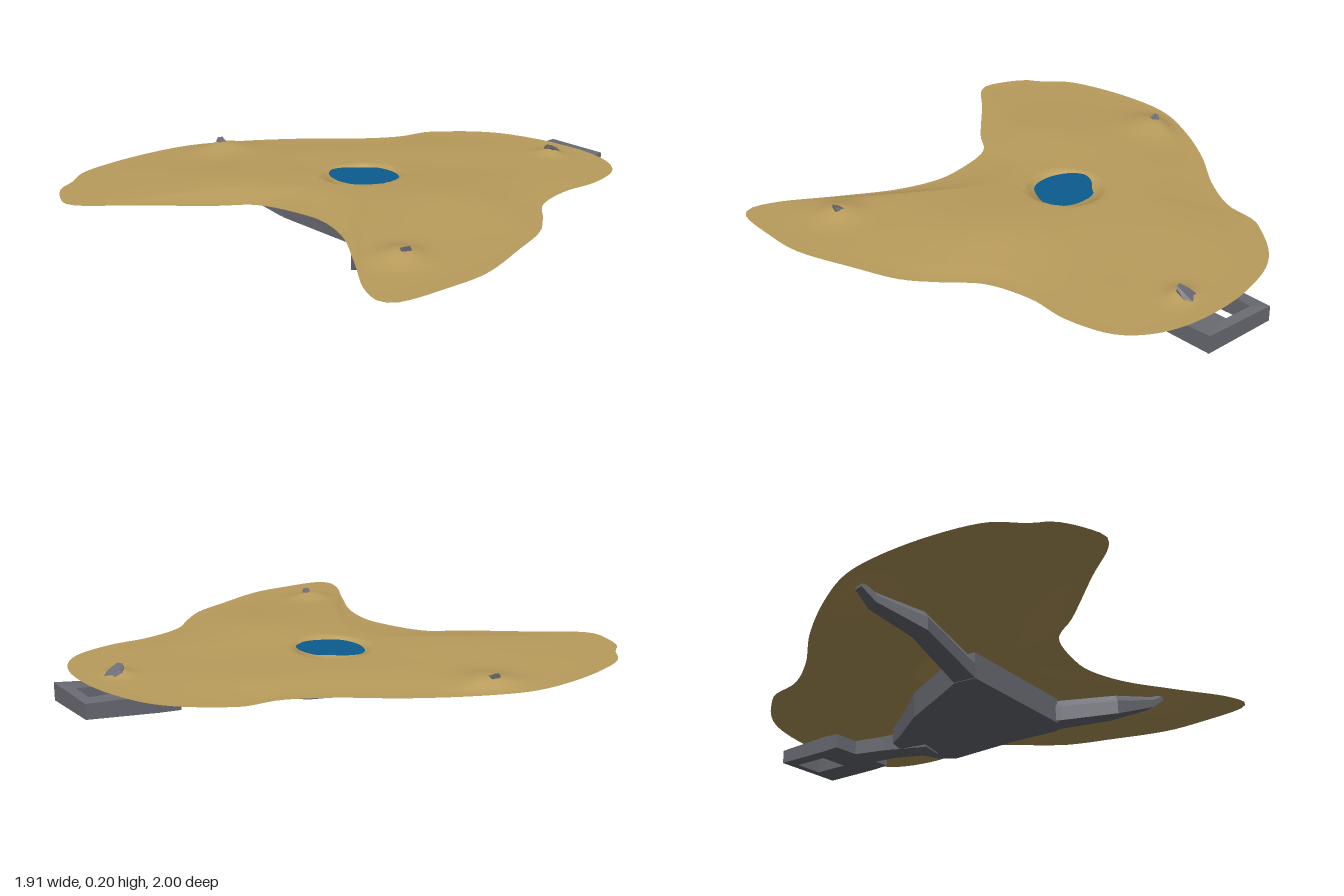
import * as THREE from 'three';

const sand = new THREE.MeshStandardMaterial({ color: 0xb99c5c, side: THREE.DoubleSide });
const water = new THREE.MeshStandardMaterial({ color: 0x0b5c8e, side: THREE.DoubleSide });
const metal = new THREE.MeshStandardMaterial({ color: 0x6b6c74, flatShading: true });

const smooth = (t) => THREE.MathUtils.smoothstep(t, 0, 1);
const CENTRE = [-0.01, 0.05];

// Plan outline of the sheet, as x, z pairs
const outline = [
  [0.19, -0.9], [0.35, -0.89], [0.53, -0.84], [0.64, -0.77], [0.71, -0.67], [0.73, -0.49],
  [0.7, -0.32], [0.72, -0.13], [0.8, 0], [0.87, 0.13], [0.91, 0.32], [0.95, 0.58],
  [0.93, 0.74], [0.875, 0.945], [0.83, 0.97], [0.74, 0.93], [0.56, 0.77], [0.37, 0.61],
  [0.21, 0.535], [0.11, 0.525], [-0.1, 0.555], [-0.21, 0.66], [-0.46, 0.86], [-0.6, 0.98],
  [-0.66, 1], [-0.74, 0.965], [-0.83, 0.89], [-0.86, 0.82], [-0.93, 0.715], [-0.955, 0.555],
  [-0.945, 0.32], [-0.9, 0.14], [-0.79, -0.03], [-0.61, -0.23], [-0.41, -0.4], [-0.29, -0.545],
  [-0.245, -0.68], [-0.19, -0.74], [-0.08, -0.83], [0.03, -0.88],
];
const poolOutline = [
  [-0.03, -0.07], [0.07, -0.06], [0.125, -0.015], [0.135, 0.05], [0.11, 0.1], [0.06, 0.155],
  [0.01, 0.17], [-0.06, 0.16], [-0.13, 0.115], [-0.155, 0.06], [-0.13, 0.01], [-0.075, -0.035],
];

// Raised spots: x, z, height, radius
const bumps = [
  [-0.74, 0.1, 0.032, 0.12], [0.66, 0.65, 0.03, 0.08], [0.38, -0.73, 0.024, 0.05],
  [0.45, 0.1, 0.018, 0.3], [-0.35, 0.4, 0.006, 0.2], [0.35, -0.4, -0.006, 0.2],
];

function sheetHeight(x, z, t) {
  const inner = smooth((1 - t) / 0.55);
  let y = 0.155 + 0.017 * inner;
  for (const [bx, bz, h, r] of bumps) {
    y += h * Math.exp(-((x - bx) ** 2 + (z - bz) ** 2) / (r * r)) * smooth((1 - t) / 0.15);
  }
  y += 0.002 * inner * Math.sin(7 * x + 3 * z) * Math.cos(6 * z - 2 * x);
  const r = Math.hypot(x - CENTRE[0], z - CENTRE[1]);
  return y - 0.063 * Math.max(0, 1 - (r / 0.16) ** 2);
}

// Surface of rings running from the centre out to a closed plan outline
function radialSurface(points, around, rings, height) {
  const curve = new THREE.CatmullRomCurve3(points.map(([x, z]) => new THREE.Vector3(x, 0, z)), true);
  const edge = curve.getSpacedPoints(around);
  const pos = [], index = [];
  for (let i = 0; i <= rings; i++) {
    const t = i / rings;
    for (let j = 0; j < around; j++) {
      const x = CENTRE[0] + (edge[j].x - CENTRE[0]) * t;
      const z = CENTRE[1] + (edge[j].z - CENTRE[1]) * t;
      pos.push(x, height(x, z, t), z);
      if (i === rings) continue;
      const a = i * around + j, b = i * around + (j + 1) % around;
      const c = a + around, d = b + around;
      if (i > 0) index.push(a, b, d);
      index.push(a, d, c);
    }
  }
  const geo = new THREE.BufferGeometry();
  geo.setAttribute('position', new THREE.Float32BufferAttribute(pos, 3));
  geo.setIndex(index);
  geo.computeVertexNormals();
  return geo;
}

// Straight interpolation through [z, y] stations, z descending
function profile(stations, z) {
  if (z >= stations[0][0]) return stations[0][1];
  for (let i = 1; i < stations.length; i++) {
    const [z0, y0] = stations[i - 1], [z1, y1] = stations[i];
    if (z >= z1) return y0 + (y1 - y0) * (z - z0) / (z1 - z0);
  }
  return stations[stations.length - 1][1];
}
const underside = [[-0.2, 0], [-0.47, 0.035], [-0.7, 0.048], [-1, 0.078]];
const upside = [[-0.2, 0.108], [-0.28, 0.09], [-0.47, 0.1], [-0.68, 0.108], [-0.82, 0.148], [-1, 0.138]];

// Plate cut from a plan shape, following the underside and upside profiles
function slab(points, hole) {
  const toVec = ([x, z]) => new THREE.Vector2(x, z);
  const shape = new THREE.Shape(points.map(toVec));
  if (hole) shape.holes.push(new THREE.Path(hole.map(toVec)));
  const geo = new THREE.ExtrudeGeometry(shape, { depth: 1, bevelEnabled: false }).rotateX(Math.PI / 2);
  const p = geo.attributes.position;
  for (let i = 0; i < p.count; i++) {
    p.setY(i, profile(p.getY(i) > -0.5 ? upside : underside, p.getZ(i)));
  }
  geo.computeVertexNormals();
  return geo;
}

// Bar with chamfered top edges through stations of x, y, z, width, height
const section = [[-1, -1], [1, -1], [1, 0.3], [0.6, 1], [-0.6, 1], [-1, 0.3]];
function bar(stations) {
  const n = section.length, pos = [], index = [];
  const last = stations.length - 1;
  stations.forEach(([x, y, z, w, h], i) => {
    const a = stations[Math.max(i - 1, 0)], b = stations[Math.min(i + 1, last)];
    const dx = b[0] - a[0], dz = b[2] - a[2], len = Math.hypot(dx, dz);
    const sx = -dz / len * w / 2, sz = dx / len * w / 2;
    for (const [s, v] of section) pos.push(x + s * sx, y + v * h / 2, z + s * sz);
    if (i === 0) return;
    for (let k = 0; k < n; k++) {
      const p = (i - 1) * n + k, q = (i - 1) * n + (k + 1) % n;
      index.push(p, p + n, q, q, p + n, q + n);
    }
  });
  const e = last * n;
  for (let k = 1; k < n - 1; k++) index.push(0, k, k + 1, e, e + k + 1, e + k);
  const geo = new THREE.BufferGeometry();
  geo.setAttribute('position', new THREE.Float32BufferAttribute(pos, 3));
  geo.setIndex(index);
  const flat = geo.toNonIndexed();
  flat.computeVertexNormals();
  return flat;
}

export function createModel() {
  const model = new THREE.Group();
  model.name = 'stretchedSheetOnFrame';
  const add = (name, geo, mat, parent = model) => {
    const mesh = new THREE.Mesh(geo, mat);
    mesh.name = name;
    parent.add(mesh);
  };

  // Sheet with a hollow in the middle, and the pool filling it
  add('sheet', radialSurface(outline, 180, 64, sheetHeight), sand);
  add('pool', radialSurface(poolOutline, 48, 3, () => 0.169), water);

  // Metal frame underneath
  const frame = new THREE.Group();
  frame.name = 'frame';
  model.add(frame);
  add('centrePlate', slab([
    [-0.24, 0.18], [-0.24, 0.27], [0.3, 0.35], [0.37, 0.31], [0.38, 0.1], [0.42, -0.2],
    [0.4, -0.28], [0.34, -0.33], [0.24, -0.38], [0.18, -0.37], [0.1, -0.28], [-0.05, -0.12], [-0.15, 0.04],
  ]), metal, frame);
  add('stem', slab([[0.25, -0.25], [0.35, -0.25], [0.35, -0.47], [0.36, -0.62], [0.24, -0.62], [0.25, -0.47]]), metal, frame);

  // Buckle: slightly turned rectangle with a window
  const turn = ([u, v]) => [0.373 + 0.968 * u + 0.25 * v, -0.965 + 0.25 * u - 0.968 * v];
  const rect = (u0, u1, v0, v1) => [[u0, v0], [u1, v0], [u1, v1], [u0, v1]].map(turn);
  add('buckle', slab(
    [[-0.147, 0], [0.147, 0], [0.147, -0.29], [0.147, -0.38], [-0.147, -0.38], [-0.147, -0.29]].map(turn),
    rect(-0.09, 0.03, -0.22, -0.04),
  ), metal, frame);
  add('rearTip', bar([
    [0.36, 0.115, -0.81, 0.1, 0.05], [0.375, 0.165, -0.75, 0.07, 0.035], [0.38, 0.19, -0.72, 0.035, 0.016],
  ]), metal, frame);

  // Arms rising to the tips that hold the sheet up
  add('rightArm', bar([
    [-0.13, 0.052, 0.215, 0.1, 0.098], [-0.25, 0.048, 0.225, 0.09, 0.092], [-0.55, 0.1, 0.22, 0.08, 0.08],
    [-0.71, 0.15, 0.12, 0.06, 0.045], [-0.77, 0.19, 0.1, 0.035, 0.03],
  ]), metal, frame);
  add('leftArm', bar([
    [0.31, 0.052, 0.25, 0.11, 0.098], [0.335, 0.054, 0.36, 0.085, 0.094], [0.41, 0.066, 0.55, 0.08, 0.085],
    [0.62, 0.148, 0.62, 0.06, 0.05], [0.685, 0.19, 0.65, 0.035, 0.03],
  ]), metal, frame);
  return model;
}
